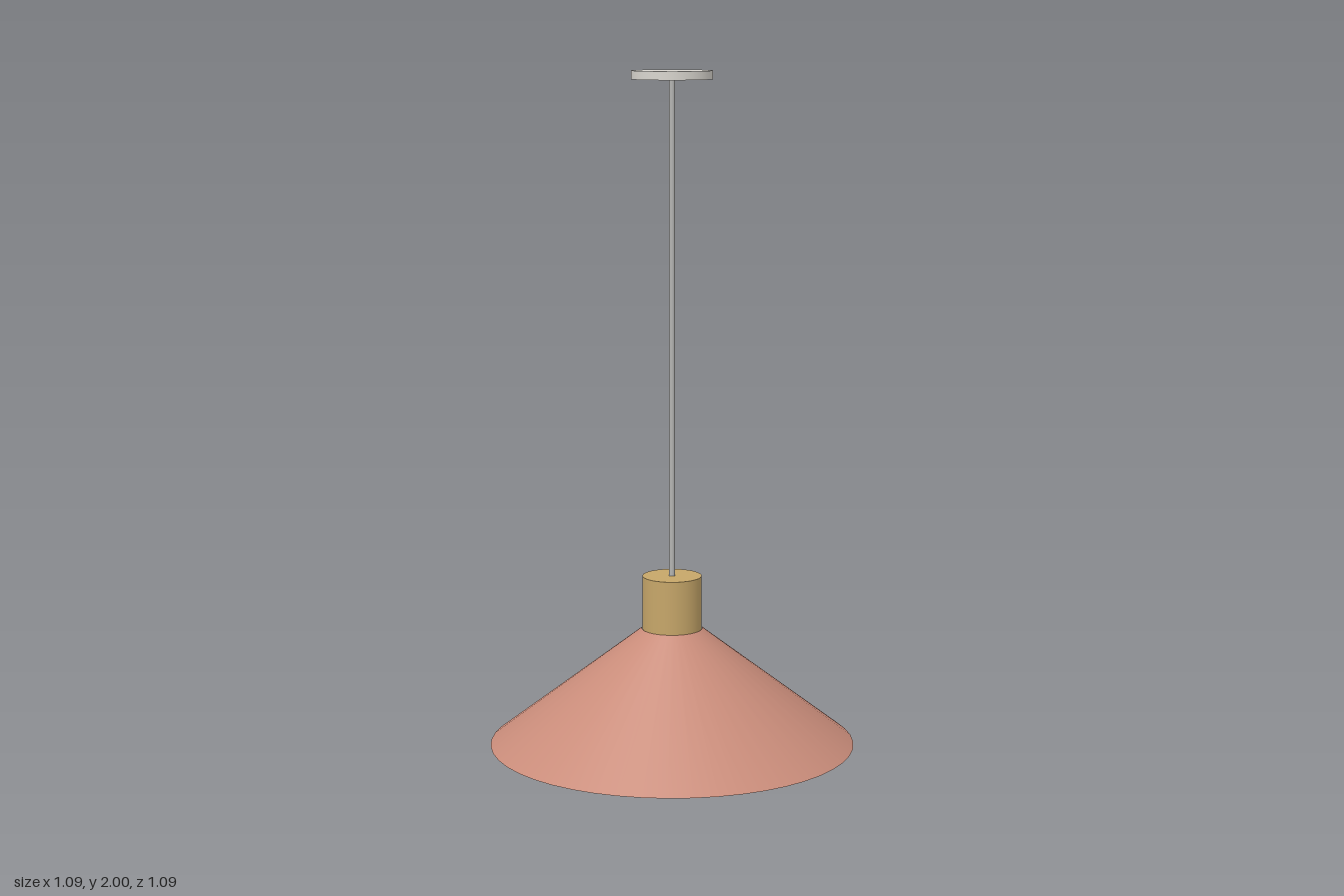
import * as THREE from 'three';

const SEGMENTS = 48;

function material(name, color) {
  const m = new THREE.MeshStandardMaterial({ color });
  m.name = name;
  return m;
}

export function createModel() {
  const lamp = new THREE.Group();
  lamp.name = 'pendantLamp';

  const terracotta = material('terracotta', 0xc98c7a);
  const brass = material('brass', 0xc6a669);
  const offWhite = material('off white', 0xd8d5ce);
  const cordGrey = material('cord grey', 0xb4b4b2);

  function add(name, geometry, mat) {
    const mesh = new THREE.Mesh(geometry, mat);
    mesh.name = name;
    lamp.add(mesh);
  }

  // Upright cylinder between two heights
  function rod(name, radius, y0, y1, mat, sides = SEGMENTS) {
    const g = new THREE.CylinderGeometry(radius, radius, y1 - y0, sides);
    g.translate(0, (y0 + y1) / 2, 0);
    add(name, g, mat);
  }

  // Ceiling plate, cord and lamp holder
  rod('ceilingPlate', 0.118, 1.975, 2, offWhite);
  rod('cord', 0.009, 0.5, 1.98, cordGrey, 16);
  rod('lampHolder', 0.088, 0.348, 0.51, brass);

  // Outer cone of the shade
  const outer = new THREE.CylinderGeometry(0.09, 0.545, 0.35, SEGMENTS, 1, true);
  outer.translate(0, 0.175, 0);
  add('shade', outer, terracotta);

  // Flat rim between the cone and its lining
  const rim = new THREE.RingGeometry(0.527, 0.545, SEGMENTS);
  rim.rotateX(Math.PI / 2);
  rim.rotateY(Math.PI / 2);
  add('shadeRim', rim, terracotta);

  // Inward-facing lining, closed at the top
  const lining = new THREE.CylinderGeometry(0.085, 0.527, 0.34, SEGMENTS, 1, true);
  lining.scale(-1, 1, 1);
  lining.translate(0, 0.17, 0);
  const index = lining.index;
  const normals = lining.attributes.normal;
  for (let i = 0; i < normals.count; i++) {
    normals.setXYZ(i, normals.getX(i), -normals.getY(i), normals.getZ(i));
  }
  // Restore true inward normals from the mirrored winding
  lining.setIndex(index);
  const pos = lining.attributes.position;
  for (let i = 0; i < normals.count; i++) {
    const a = Math.atan2(pos.getZ(i), pos.getX(i));
    const n = new THREE.Vector3(-0.34 * Math.cos(a), -0.442, -0.34 * Math.sin(a)).normalize();
    normals.setXYZ(i, n.x, n.y, n.z);
  }
  add('shadeLining', lining, offWhite);

  const cap = new THREE.CircleGeometry(0.085, SEGMENTS);
  cap.rotateX(Math.PI / 2);
  cap.translate(0, 0.34, 0);
  add('liningTop', cap, offWhite);

  return lamp;
}
